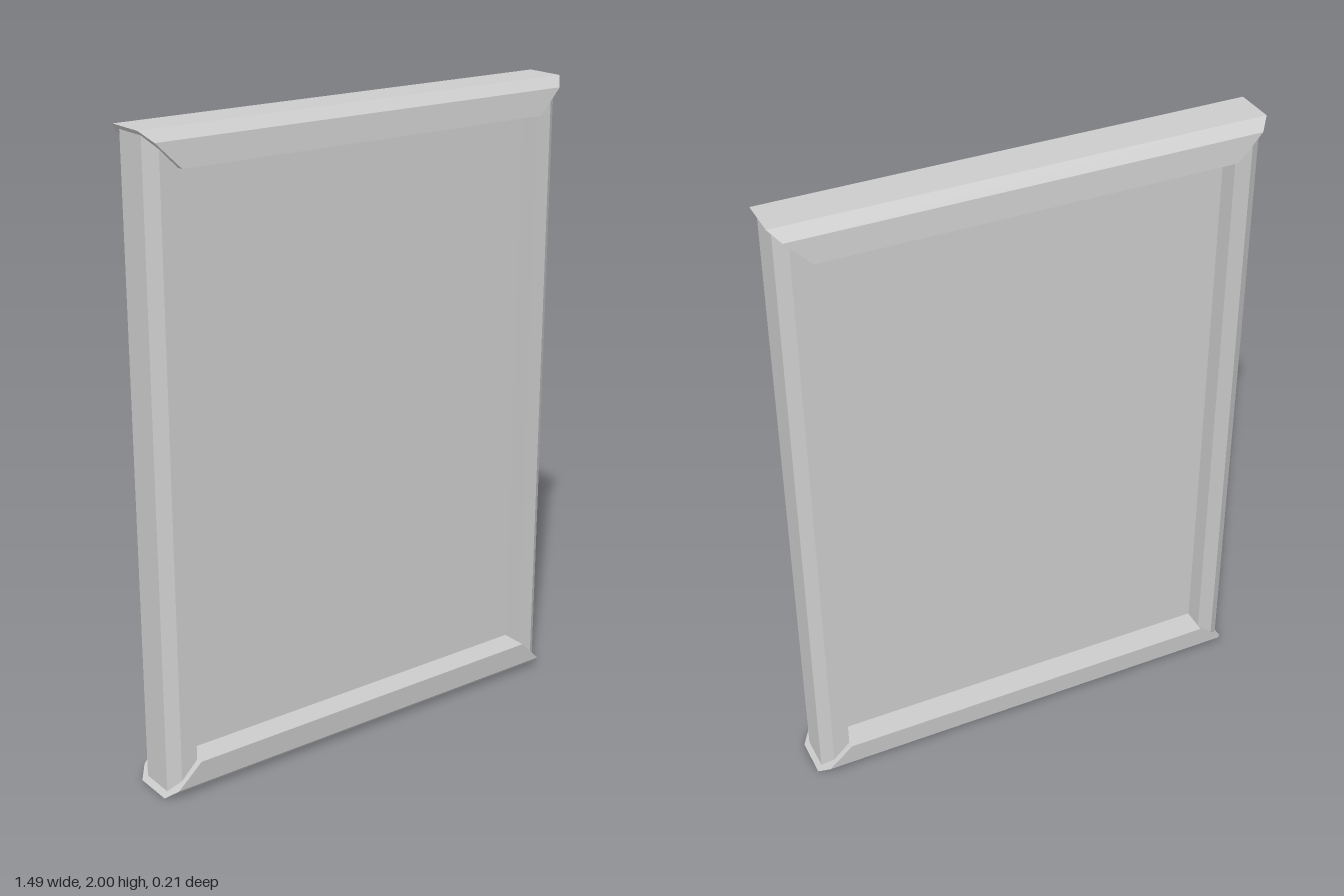
import * as THREE from 'three';

const material = new THREE.MeshStandardMaterial({ color: 0xcccccc, flatShading: true });

// Half of a symmetric rail section: [inset from the outer edge, half thickness]
const CAP = [[0, 0.065], [0.03, 0.1], [0.107, 0.107]];
const STILE = [[0, 0.056], [0.036, 0.085], [0.09, 0.085]];

// Mitred rail along x with its outer edge at y = outer; ends are cut at 45 degrees
function mitredRail(name, section, outer, halfLength) {
  const outline = [
    ...section.map(([d, w]) => new THREE.Vector2(w, -d)),
    ...section.map(([d, w]) => new THREE.Vector2(-w, -d)).reverse(),
  ];
  const geometry = new THREE.ExtrudeGeometry(new THREE.Shape(outline), {
    depth: 1, steps: 1, bevelEnabled: false,
  });
  const p = geometry.attributes.position;
  for (let i = 0; i < p.count; i++) {
    const inset = -p.getY(i);
    const end = p.getZ(i) > 0.5 ? 1 : -1;
    p.setXYZ(i, end * (halfLength - inset), outer - inset, -p.getX(i));
  }
  geometry.computeVertexNormals();
  const mesh = new THREE.Mesh(geometry, material);
  mesh.name = name;
  mesh.position.y = 1;
  return mesh;
}

export function createModel() {
  const model = new THREE.Group();
  model.name = 'framedPanel';

  // Thick top and bottom rails, slimmer side rails
  const rails = [
    ['topRail', CAP, 1, 0.745, 0],
    ['leftRail', STILE, 0.73, 0.985, -Math.PI / 2],
    ['bottomRail', CAP, 1, 0.745, Math.PI],
    ['rightRail', STILE, 0.73, 0.985, Math.PI / 2],
  ];
  for (const [name, section, outer, halfLength, angle] of rails) {
    const rail = mitredRail(name, section, outer, halfLength);
    rail.rotation.z = angle;
    model.add(rail);
  }

  // Recessed panel, let into the rails
  const panel = new THREE.Mesh(new THREE.BoxGeometry(1.32, 1.84, 0.04), material);
  panel.name = 'panel';
  panel.position.y = 1;
  model.add(panel);

  return model;
}
